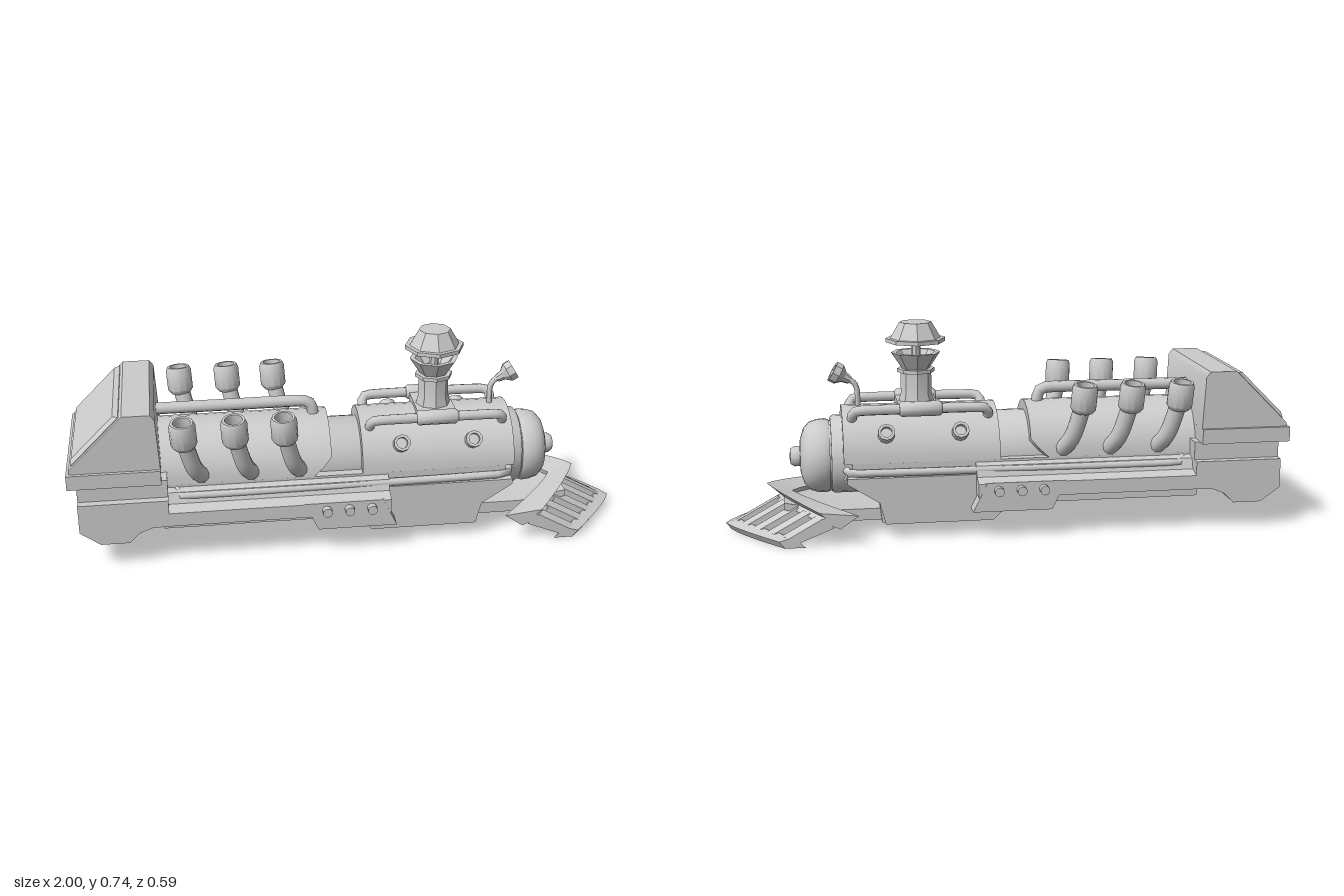
import * as THREE from 'three';
import { toCreasedNormals } from 'three/addons/utils/BufferGeometryUtils.js';

const mat = new THREE.MeshStandardMaterial({ color: 0xcccccc });
const thin = new THREE.MeshStandardMaterial({ color: 0xcccccc, side: THREE.DoubleSide });
const V = (x, y, z) => new THREE.Vector3(x, y, z);
const AXIS_Y = 0.265; // boiler centre height

export function createModel() {
  const model = new THREE.Group();

  const add = (name, geo, material = mat, crease = 0.7) => {
    const mesh = new THREE.Mesh(toCreasedNormals(geo, crease), material);
    mesh.name = name;
    model.add(mesh);
    return mesh;
  };
  // Box given by its limits
  const box = (name, x0, x1, y0, y1, z0, z1) =>
    add(name, new THREE.BoxGeometry(x1 - x0, y1 - y0, z1 - z0)
      .translate((x0 + x1) / 2, (y0 + y1) / 2, (z0 + z1) / 2));
  const shapeOf = (pts) => new THREE.Shape(pts.map(([a, b]) => new THREE.Vector2(a, b)));
  // Side profile (x, y) extruded from z0 to z1
  const slab = (name, pts, z0, z1) =>
    add(name, new THREE.ExtrudeGeometry(shapeOf(pts), { depth: z1 - z0, bevelEnabled: false }).translate(0, 0, z0));
  // Turned profile of [radius, distance] set along a direction
  const turned = (name, pts, from, dir, sides = 10, material = mat) => {
    const geo = new THREE.LatheGeometry(pts.map(([r, d]) => new THREE.Vector2(r, d)), sides);
    geo.applyQuaternion(new THREE.Quaternion().setFromUnitVectors(V(0, 1, 0), dir.clone().normalize()));
    return add(name, geo.translate(from.x, from.y, from.z), material, sides < 9 ? 0.3 : 0.7);
  };
  const pipe = (name, pts, r, tension = 0.3) =>
    add(name, new THREE.TubeGeometry(new THREE.CatmullRomCurve3(pts, false, 'catmullrom', tension), 28, r, 10), thin, 1);

  // Boiler, nose dome and knob
  turned('boiler', [[0, -0.66], [0.14, -0.66], [0.14, 0.61], [0.133, 0.62], [0.12, 0.62], [0.12, 0.63], [0, 0.63]],
    V(0, AXIS_Y, 0), V(1, 0, 0), 24);
  turned('noseDome', [[0, 0.625], [0.128, 0.625], [0.133, 0.64], [0.13, 0.67], [0.122, 0.695], [0.1, 0.715],
    [0.06, 0.728], [0, 0.732]], V(0, AXIS_Y - 0.005, 0), V(1, 0, 0), 24);
  turned('noseKnob', [[0, 0.72], [0.037, 0.72], [0.037, 0.75], [0.028, 0.763], [0, 0.767]],
    V(0, AXIS_Y - 0.005, 0), V(1, 0, 0), 12);

  // Half-round casings; the rear one has a slanted lower front corner
  const casing = (name, x0, x1, cut) => {
    const geo = new THREE.CylinderGeometry(0.175, 0.175, x1 - x0, 16, 1, false, Math.PI, Math.PI)
      .rotateZ(-Math.PI / 2).translate((x0 + x1) / 2, AXIS_Y, 0);
    const p = geo.attributes.position;
    for (let i = 0; i < p.count; i++) {
      const drop = Math.max(0, 0.325 - p.getY(i)) / 0.06;
      if (p.getX(i) > x1 - 0.01 && Math.abs(p.getZ(i)) > 0.1) p.setX(i, x1 - cut * drop);
    }
    add(name, geo);
  };
  casing('rearCasing', -0.69, -0.08, 0.065);
  casing('frontCasing', 0.03, 0.58, 0);

  // Cab: sloped hood with a raised back panel, plate and neck
  slab('cabHood', [[-0.99, 0.365], [-0.68, 0.365], [-0.69, 0.55], [-0.705, 0.57], [-0.8, 0.57], [-0.99, 0.38]], -0.247, 0.247);
  const panel = new THREE.ExtrudeGeometry(shapeOf([[-0.105, -0.215], [0.105, -0.215], [0.105, 0.215], [-0.105, 0.215]]),
    { depth: 0.004, bevelThickness: 0.012, bevelSize: 0.015, bevelSegments: 1 });
  panel.rotateX(-Math.PI / 2).rotateZ(Math.PI / 4).translate(-0.894, 0.474, 0);
  add('cabBackPanel', panel, mat, 0.3);
  box('cabPlate', -1, -0.68, 0.313, 0.366, -0.26, 0.26);
  box('cabNeck', -0.97, -0.66, 0.245, 0.315, -0.23, 0.23);
  slab('rearBase', [[-0.97, 0.25], [-0.97, 0.145], [-0.9, 0.095], [-0.8, 0.095], [-0.765, 0.13], [-0.72, 0.148],
    [-0.66, 0.15], [-0.66, 0.25]], -0.26, 0.26);

  // Chassis: deck, front belly, side rails and running boards
  box('deck', -0.67, 0.55, 0.2, 0.266, -0.175, 0.175);
  slab('frontBelly', [[-0.02, 0.2], [-0.02, 0.11], [0.05, 0.05], [0.45, 0.05], [0.46, 0.13], [0.58, 0.2], [0.56, 0.24],
    [-0.02, 0.24]], -0.17, 0.17);
  for (const s of [1, -1]) {
    const span = (a, b) => (s > 0 ? [a, b] : [-b, -a]);
    slab('sideRail', [[-0.68, 0.22], [-0.68, 0.11], [0, 0.11], [0.06, 0.052], [0.44, 0.052], [0.46, 0.13], [0.57, 0.2],
      [0.57, 0.22]], ...span(0.12, 0.2));
    const board = shapeOf([[0.16, 0.15], [0.26, 0.15], [0.26, 0.2], [0.215, 0.213], [0.2, 0.25], [0.16, 0.262]]
      .map(([z, y]) => [-s * z, y]));
    add('runningBoard', new THREE.ExtrudeGeometry(board, { depth: 0.79, bevelEnabled: false })
      .rotateY(Math.PI / 2).translate(-0.67, 0, 0), mat, 0.3);
    slab('boltPanel', [[-0.19, 0.203], [-0.14, 0.1], [0.14, 0.1], [0.09, 0.203]], ...span(0.19, 0.262));
    for (const x of [-0.11, -0.03, 0.05])
      turned('bolt', [[0, 0], [0.017, 0], [0.017, 0.03], [0, 0.03]], V(x, 0.175, s * 0.256), V(0, 0, s));

    // Long pipe above the running board
    pipe('boardPipe', [V(-0.63, 0.25, s * 0.17), V(-0.6, 0.235, s * 0.198), V(0, 0.235, s * 0.195),
      V(0.52, 0.235, s * 0.185), V(0.56, 0.235, s * 0.17), V(0.57, 0.235, s * 0.13)], 0.014);

    // Exhaust stacks with wide hollow caps
    for (const x of [-0.595, -0.42, -0.25]) {
      pipe('exhaustPipe', [V(x + 0.06, 0.285, s * 0.145), V(x + 0.045, 0.31, s * 0.18),
        V(x + 0.025, 0.36, s * 0.21), V(x, 0.46, s * 0.235)], 0.03, 0.5);
      turned('exhaustCap', [[0, 0], [0.035, 0], [0.046, 0.015], [0.046, 0.087], [0.04, 0.1], [0.031, 0.1], [0.031, 0.05],
        [0, 0.05]], V(x, 0.44, s * 0.236), V(-0.06, 1, s * 0.14), 12);
    }

    // Handrail pipe with sleeve, and portholes, placed around the casing
    const around = (x, r, deg) => {
      const a = THREE.MathUtils.degToRad(deg);
      return V(x, AXIS_Y + r * Math.cos(a), s * r * Math.sin(a));
    };
    pipe('casingPipe', [around(0.065, 0.15, 33), around(0.065, 0.19, 33), around(0.09, 0.212, 33), around(0.3, 0.214, 33),
      around(0.52, 0.212, 33), around(0.545, 0.19, 33), around(0.545, 0.15, 33)], 0.018);
    turned('pipeSleeve', [[0, 0], [0.02, 0], [0.027, 0.008], [0.027, 0.142], [0.02, 0.15], [0, 0.15]],
      around(0.23, 0.214, 33), V(1, 0, 0));
    for (const x of [0.17, 0.43])
      turned('porthole', [[0, 0], [0.03, 0], [0.03, 0.045], [0.02, 0.045], [0.02, 0.028], [0, 0.028]],
        around(x, 0.163, 57), around(0, 1, 57).sub(V(0, AXIS_Y, 0)));
  }

  // Top pipe from the cab into the rear casing
  pipe('topPipe', [V(-0.7, 0.485, 0), V(-0.4, 0.485, 0), V(-0.17, 0.485, 0), V(-0.135, 0.468, 0), V(-0.125, 0.41, 0)], 0.021);

  // Eight-sided chimney with a spark cap on a rod
  box('chimneySaddle', 0.24, 0.38, 0.42, 0.452, -0.1, 0.1);
  turned('chimney', [[0, 0.41], [0.068, 0.41], [0.068, 0.435], [0.055, 0.48], [0.055, 0.556], [0.067, 0.556],
    [0.067, 0.569], [0.05, 0.569], [0.088, 0.627], [0.07, 0.627], [0.04, 0.59], [0, 0.59]], V(0.31, 0, 0), V(0, 1, 0), 8);
  turned('chimneyRod', [[0.017, 0.58], [0.017, 0.67]], V(0.31, 0, 0), V(0, 1, 0), 8, thin);
  turned('sparkCap', [[0, 0.664], [0.106, 0.664], [0.106, 0.678], [0.09, 0.678], [0.057, 0.735], [0, 0.735]],
    V(0.31, 0, 0), V(0, 1, 0), 8);

  // Horn on a bent stem
  pipe('hornStem', [V(0.52, 0.42, 0), V(0.52, 0.49, 0), V(0.53, 0.52, 0), V(0.56, 0.54, 0)], 0.01);
  turned('horn', [[0, 0], [0.014, 0], [0.02, 0.025], [0.038, 0.045], [0.038, 0.07], [0.027, 0.07], [0.014, 0.03],
    [0, 0.03]], V(0.545, 0.53, 0), V(0.85, 0.5, 0), 8);

  // Cowcatcher: sections swept in a V, blended from the middle (a) to the ends (b)
  const sweep = (name, a, b, t0, t1, steps) => {
    const pos = [], idx = [], n = a.length;
    for (let i = 0; i <= steps; i++) {
      const t = t0 + (t1 - t0) * i / steps, k = Math.abs(t) ** 1.2;
      a.forEach(([x, y], j) => pos.push(x + (b[j][0] - x) * k, y + (b[j][1] - y) * k, 0.26 * t));
      for (let j = 0; j < n && i < steps; j++) {
        const p = i * n + j, q = i * n + (j + 1) % n;
        idx.push(p, q, q + n, p, q + n, p + n);
      }
    }
    const e = steps * n;
    for (let j = 1; j < n - 1; j++) idx.push(0, j + 1, j, e, e + j, e + j + 1);
    const geo = new THREE.BufferGeometry();
    geo.setAttribute('position', new THREE.Float32BufferAttribute(pos, 3));
    geo.setIndex(idx);
    add(name, geo, mat, 0.3);
  };
  sweep('catcherTopRail', [[0.77, 0.1], [0.82, 0.102], [0.805, 0.125], [0.85, 0.165], [0.76, 0.135]],
    [[0.6, 0.06], [0.67, 0.09], [0.65, 0.102], [0.67, 0.12], [0.535, 0.105]], -1, 1, 12);
  sweep('catcherBottomRail', [[0.91, 0], [0.98, 0], [1, 0.025], [0.95, 0.038]],
    [[0.72, 0], [0.79, 0], [0.81, 0.025], [0.76, 0.038]], -1, 1, 12);
  for (let i = -4; i <= 4; i++) {
    const c = i / 4 * 0.94;
    sweep('catcherBar', [[0.785, 0.1], [0.935, 0.015], [0.965, 0.035], [0.815, 0.118]],
      [[0.62, 0.065], [0.745, 0.015], [0.775, 0.035], [0.66, 0.1]], c - 0.06, c + 0.06, 2);
  }
  // Bed joining the cowcatcher to the chassis
  slab('catcherBed', [[0.4, 0.05], [0.62, 0.05], [0.79, 0.1], [0.79, 0.125], [0.62, 0.092], [0.4, 0.092]], -0.13, 0.13);

  return model;
}
